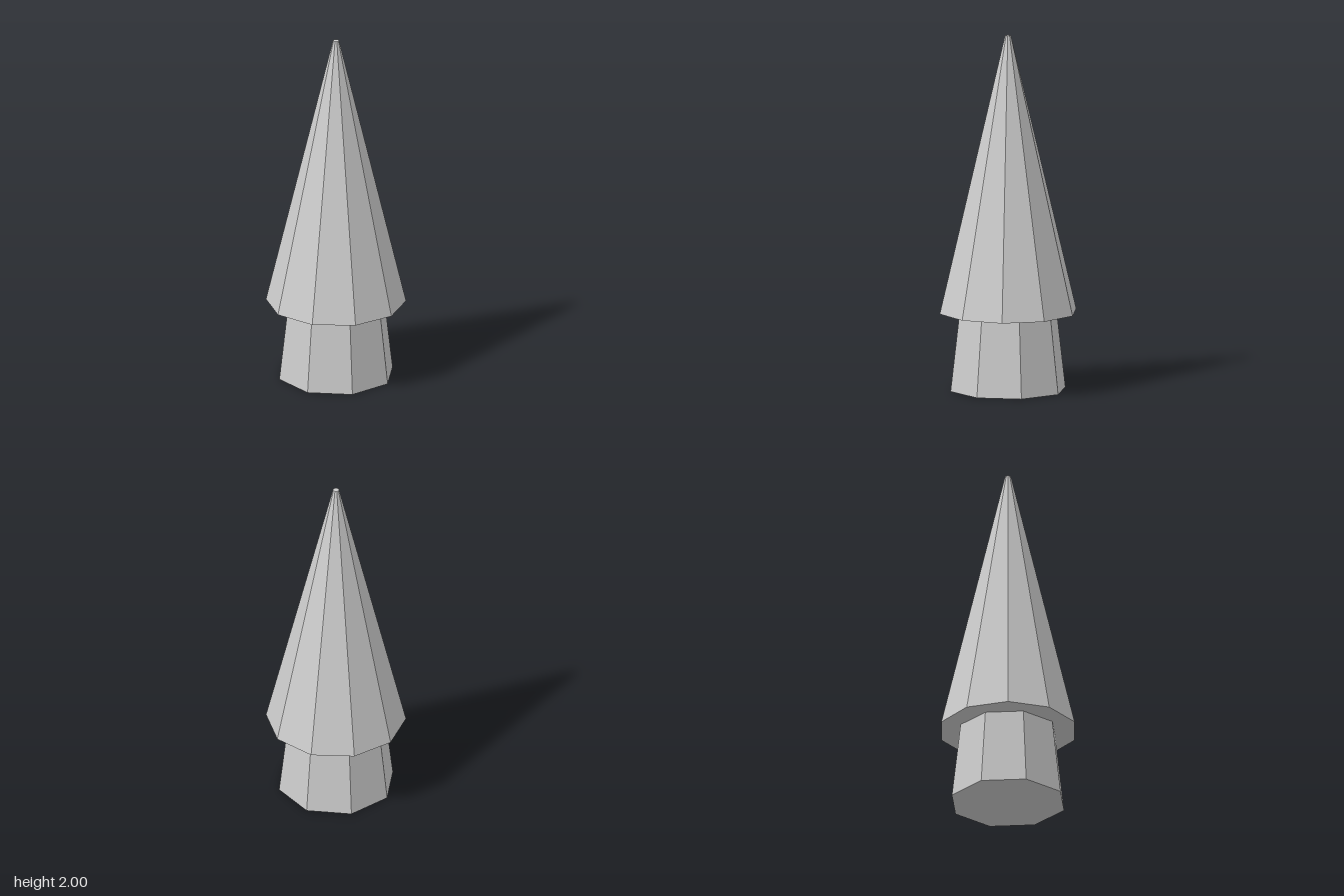
import * as THREE from 'three';

export function createModel() {
  const model = new THREE.Group();
  model.name = 'coneTree';

  const grey = new THREE.MeshStandardMaterial({ color: 0xcccccc });
  grey.name = 'light grey';
  grey.flatShading = true;

  // Closed tapered prism standing between two heights, one corner facing front
  function taperedPrism(name, topRadius, bottomRadius, y0, y1, sides) {
    const geometry = new THREE.CylinderGeometry(topRadius, bottomRadius, y1 - y0, sides);
    const mesh = new THREE.Mesh(geometry, grey);
    mesh.name = name;
    mesh.position.y = (y0 + y1) / 2;
    model.add(mesh);
  }

  // Eight-sided trunk
  taperedPrism('trunk', 0.277, 0.328, 0, 0.44, 8);
  // Ten-sided foliage with a tiny blunt tip
  taperedPrism('foliage', 0.017, 0.39, 0.44, 2, 10);

  return model;
}
